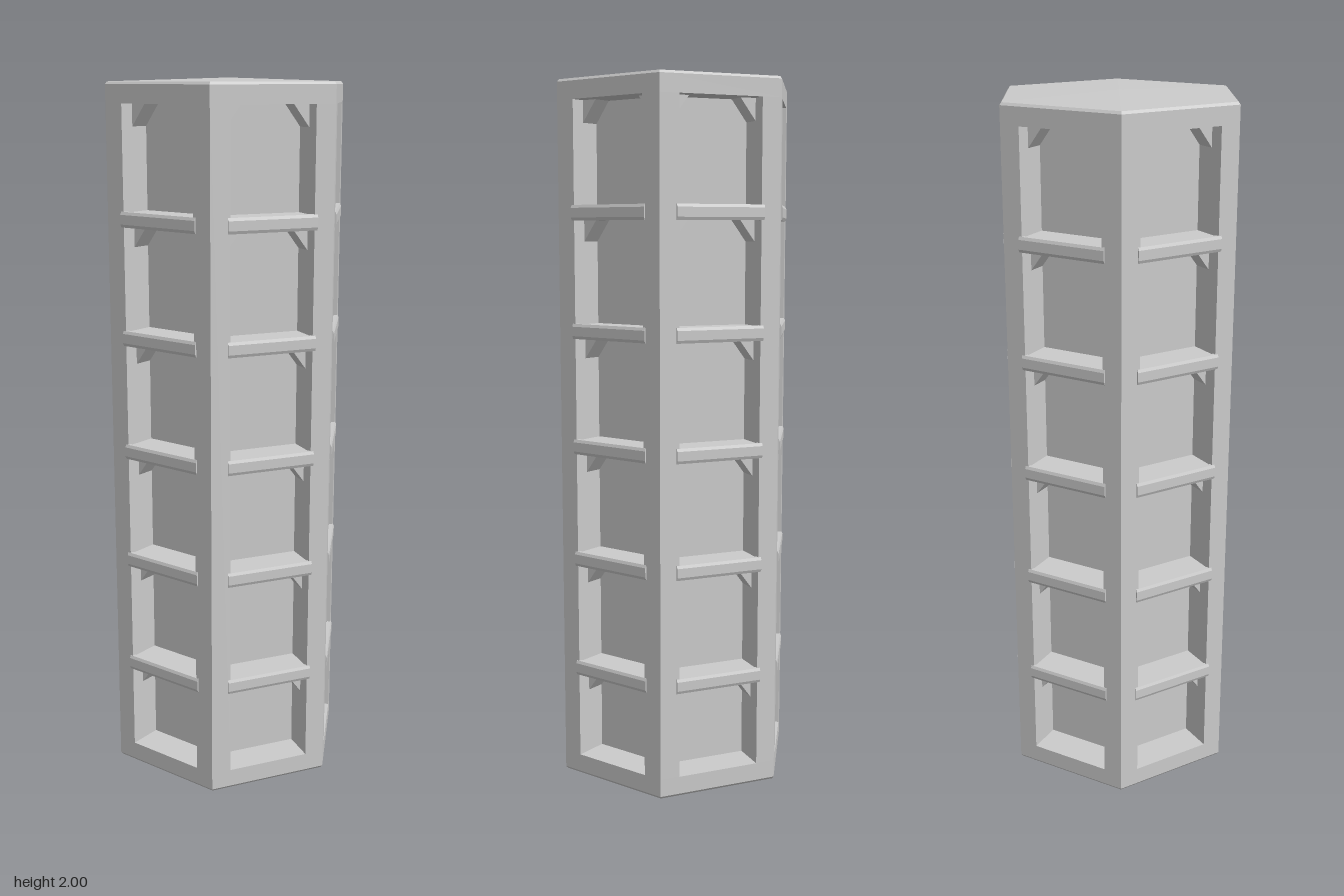
import * as THREE from 'three';

const R = 0.353;                 // corner radius of the hexagon
const APOTHEM = R * Math.cos(Math.PI / 6);
const HALF = 0.12;               // half width of each opening
const CORE = 0.24;               // corner radius of the inner core
const DEPTH = APOTHEM - CORE * Math.cos(Math.PI / 6);
const BASE = 0.07, TOP = 1.934;  // bottom of lowest and top of highest opening
const SHELF = 0.036;
const SHELF_Y = [0.334, 0.657, 0.981, 1.306, 1.631];

const material = new THREE.MeshStandardMaterial({ color: 0xcccccc, flatShading: true });

function add(parent, name, geometry) {
  const mesh = new THREE.Mesh(geometry, material);
  mesh.name = name;
  parent.add(mesh);
  return mesh;
}

// Star-like plan: six corner posts around the hexagonal core
function columnGeometry() {
  const pts = [];
  const post = R / 2 - HALF;
  const px = R - post / 2, py = post * Math.sin(Math.PI / 3);
  for (let i = 0; i < 6; i++) {
    const centre = new THREE.Vector2();
    for (const [x, y] of [[CORE, 0], [px, -py], [R, 0], [px, py], [CORE, 0]]) {
      pts.push(new THREE.Vector2(x, y).rotateAround(centre, i * Math.PI / 3));
    }
  }
  const g = new THREE.ExtrudeGeometry(new THREE.Shape(pts), { depth: TOP - BASE, bevelEnabled: false });
  return g.rotateX(-Math.PI / 2).translate(0, BASE, 0);
}

// Hexagonal end blocks with a slight bevel and shallow point
function endBlock(profile) {
  const pts = profile.map(([r, y]) => new THREE.Vector2(r, y));
  return new THREE.LatheGeometry(pts, 6, Math.PI / 2);
}

// Shelf with a chamfered nose, drawn as depth against height
function shelfGeometry() {
  const h = SHELF / 2, front = APOTHEM;
  const s = new THREE.Shape();
  s.moveTo(front - DEPTH - 0.005, -h);
  s.lineTo(front, -h);
  s.lineTo(front, h);
  s.lineTo(front - DEPTH - 0.005, h);
  s.closePath();
  const g = new THREE.ExtrudeGeometry(s, { depth: 2 * HALF, bevelEnabled: false });
  return g.translate(0, 0, -HALF).rotateY(-Math.PI / 2);
}

function lipGeometry() {
  const h = SHELF / 2 + 0.003, front = APOTHEM;
  const s = new THREE.Shape();
  s.moveTo(front - 0.01, -h);
  s.lineTo(front + 0.001, -h);
  s.lineTo(front + 0.0045, -h + 0.008);
  s.lineTo(front + 0.0045, h - 0.008);
  s.lineTo(front + 0.001, h);
  s.lineTo(front - 0.01, h);
  s.closePath();
  const w = HALF + 0.008;
  const g = new THREE.ExtrudeGeometry(s, { depth: 2 * w, bevelEnabled: false });
  return g.translate(0, 0, -w).rotateY(-Math.PI / 2);
}

// Triangular corner brace, set back inside an opening
function braceGeometry(side) {
  const s = new THREE.Shape();
  s.moveTo(side * HALF, 0);
  s.lineTo(side * (HALF - 0.045), 0);
  s.lineTo(side * HALF, -0.06);
  s.closePath();
  const g = new THREE.ExtrudeGeometry(s, { depth: DEPTH - 0.042, bevelEnabled: false });
  return g.translate(0, 0, APOTHEM - DEPTH);
}

export function createModel() {
  const model = new THREE.Group();
  model.name = 'hexagonalShelfTower';

  add(model, 'column', columnGeometry());
  add(model, 'bottomBlock', endBlock([
    [0, 0], [R - 0.006, 0.013], [R, 0.02], [R, BASE], [0, BASE],
  ]));
  add(model, 'topBlock', endBlock([
    [0, TOP], [R, TOP], [R, 1.983], [R - 0.006, 1.99], [0, 2],
  ]));

  const shelf = shelfGeometry(), lip = lipGeometry();
  const braces = [braceGeometry(-1), braceGeometry(1)];

  // Six identical faces, each with five shelves and six braced openings
  for (let i = 0; i < 6; i++) {
    const face = new THREE.Group();
    face.name = 'face';
    face.rotation.y = i * Math.PI / 3;
    for (const y of SHELF_Y) {
      add(face, 'shelf', shelf).position.y = y;
      add(face, 'shelfLip', lip).position.y = y;
    }
    for (const y of [...SHELF_Y.map((v) => v - SHELF / 2), TOP]) {
      for (const brace of braces) add(face, 'cornerBrace', brace).position.y = y;
    }
    model.add(face);
  }
  return model;
}
